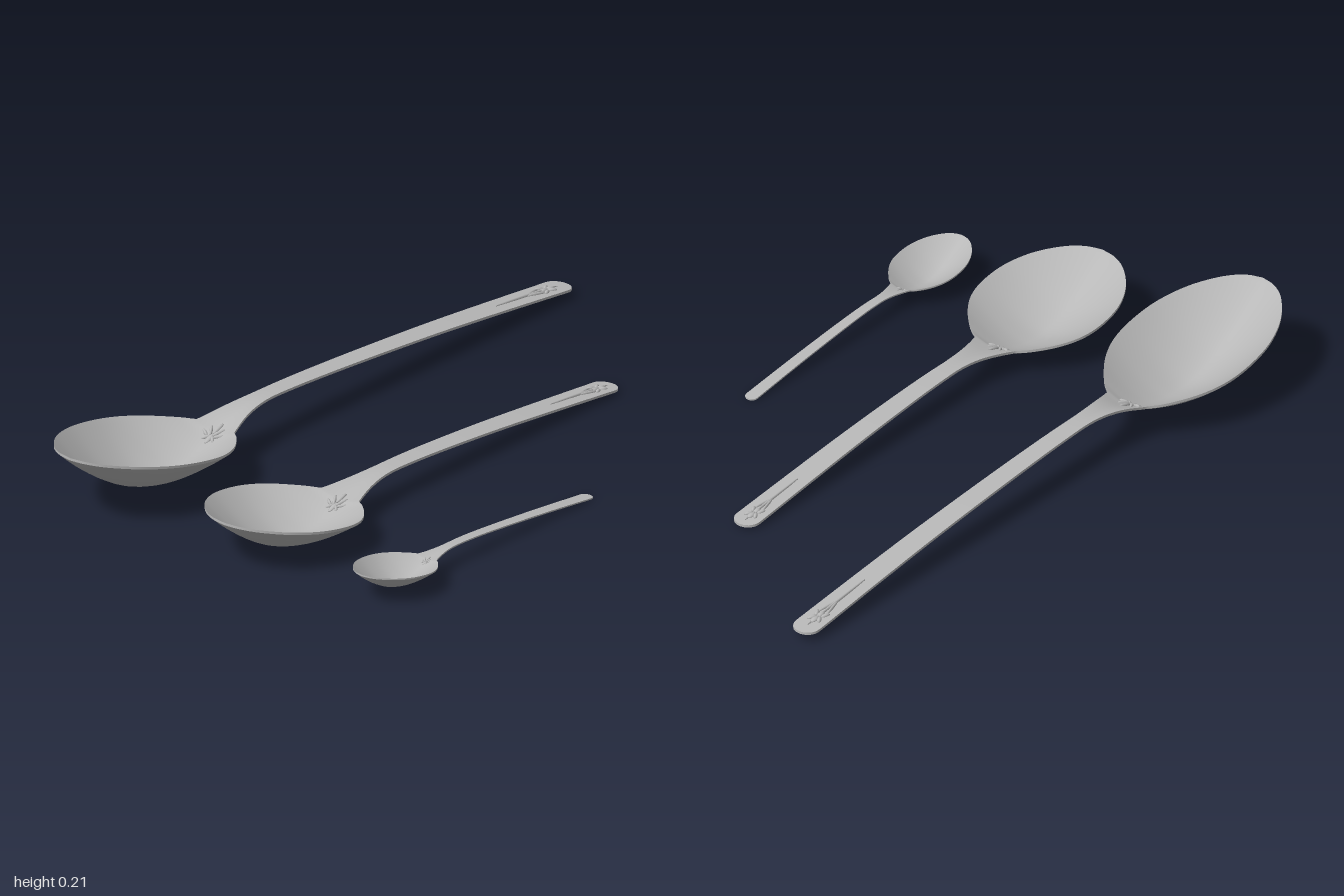
import * as THREE from 'three';

const silver = new THREE.MeshStandardMaterial({ color: 0xb8b8b8 });
silver.name = 'silver';

// Shared bowl profile from neck to tip: fraction of length, of half width, of depth
const BOWL = new THREE.CatmullRomCurve3([
  [0, 0.335, 0.15], [0.06, 0.53, 0.34], [0.18, 0.79, 0.64], [0.31, 0.95, 0.87], [0.46, 1, 1],
  [0.63, 0.95, 0.91], [0.79, 0.775, 0.62], [0.915, 0.505, 0.3], [0.978, 0.25, 0.09], [1, 0, 0],
].map(p => new THREE.Vector3(...p)), false, 'catmullrom', 0.5);

// Raised leaves: [x, z, half width, half length, turn]
const NECK_LEAVES = [[0, -0.022, 0.006, 0.024, 0], [0, 0.015, 0.008, 0.02, 0]];
const CREST_LEAVES = [[0, -0.035, 0.009, 0.016, 0], [0, -0.008, 0.008, 0.014, 0], [0, 0.06, 0.004, 0.13, 0]];
for (const s of [-1, 1]) {
  NECK_LEAVES.push([s * 0.013, -0.008, 0.005, 0.02, s * -0.5], [s * 0.023, 0.004, 0.005, 0.016, s * -1],
    [s * 0.012, 0.015, 0.005, 0.014, s * 0.7]);
  CREST_LEAVES.push([s * 0.012, -0.03, 0.006, 0.014, s * -0.5], [s * 0.014, -0.006, 0.006, 0.014, s * 0.4],
    [s * 0.008, 0.03, 0.004, 0.035, s * -0.2]);
}

// Rows along a spoon, from handle end to bowl tip
function spoonRows({ handle, tip, tipY, bowlWidth, depth, endWidth, waist, flare }) {
  const rows = [];
  const arc = new THREE.SplineCurve(handle.map(p => new THREE.Vector2(...p)));
  const end = handle[0][0], [neckZ, neckY] = handle[handle.length - 1];
  const neck = BOWL.getPoint(0), cap = endWidth * 0.9, n = 56;

  // Handle: rounded end, slight taper, then a flare into the bowl
  for (let i = 0; i < n; i++) {
    const { x: z, y: rim } = arc.getPoint(Math.pow(i / n, 1.6));
    const d = z - end, k = 1 - Math.min(1, d / cap);
    const taper = THREE.MathUtils.lerp(endWidth, waist, Math.min(1, d / (neckZ - flare - end)));
    const f = Math.max(0, 1 - (neckZ - z) / flare) ** 2;
    rows.push({ z, rim, w: taper * Math.sqrt(1 - k * k) + (neck.y * bowlWidth - waist) * f,
      mid: rim - neck.z * depth * f });
  }

  // Bowl: straight sloping rim over a rounded hollow
  for (let i = 0; i <= n; i++) {
    const p = BOWL.getPoint(i / n), rim = THREE.MathUtils.lerp(neckY, tipY, p.x);
    rows.push({ z: THREE.MathUtils.lerp(neckZ, tip, p.x), rim, w: Math.max(0, p.y) * bowlWidth,
      mid: rim - Math.max(0, p.z) * depth });
  }
  return rows;
}

// Underside height across a row, u from -1 to 1
const dish = (r, u) => r.mid + (r.rim - r.mid) * Math.pow(Math.abs(u), 1.55);

// Skin over the rows; across lists [u, lift above the underside]
function skin(rows, across) {
  const pos = [], idx = [], n = across.length;
  rows.forEach((r, i) => across.forEach(([u, lift], j) => {
    pos.push(u * r.w, dish(r, u) + lift, r.z);
    if (i && j) {
      const d = i * n + j, c = d - 1, b = d - n, a = b - 1;
      idx.push(a, c, b, b, c, d);
    }
  }));
  const g = new THREE.BufferGeometry();
  g.setAttribute('position', new THREE.Float32BufferAttribute(pos, 3));
  g.setIndex(idx);
  g.computeVertexNormals();
  return g;
}

function makeSpoon(spec) {
  const { name, x, thick, scale, neckZ, crestZ } = spec;
  const spoon = new THREE.Group();
  spoon.name = name;
  spoon.position.x = x;
  const rows = spoonRows(spec);
  const add = (part, geo) => {
    const m = new THREE.Mesh(geo, silver);
    m.name = part;
    spoon.add(m);
    return m;
  };

  // Bowl and handle in one sheet: top, underside and edges
  const us = Array.from({ length: 25 }, (_, i) => i / 12 - 1);
  add('upperFace', skin(rows, us.map(u => [u, thick])));
  add('underside', skin(rows, us.map(u => [-u, 0])));
  add('leftEdge', skin(rows, [[1, thick], [1, 0]]));
  add('rightEdge', skin(rows, [[-1, 0], [-1, thick]]));

  // Relief leaves laid on the upper face
  const topAt = (px, z) => {
    const i = rows.findIndex(r => r.z >= z), a = rows[i - 1], b = rows[i];
    const h = r => dish(r, Math.min(1, Math.abs(px) / r.w));
    return thick + THREE.MathUtils.lerp(h(a), h(b), (z - a.z) / (b.z - a.z));
  };
  const leafGeo = new THREE.SphereGeometry(1, 10, 6);
  const relief = (part, leaves, z0) => leaves.forEach(([lx, lz, w, l, turn]) => {
    const px = lx * scale, z = z0 + lz * scale;
    const leaf = add(part, leafGeo);
    leaf.position.set(px, topAt(px, z), z);
    leaf.scale.set(w * scale, 0.006 * scale, l * scale);
    const slope = (topAt(px, z + 0.01) - topAt(px, z - 0.01)) / 0.02;
    leaf.rotation.set(-Math.atan(slope), turn, 0);
  });
  relief('neckLeaf', NECK_LEAVES, neckZ);
  if (crestZ) relief('handleFlower', CREST_LEAVES, crestZ);
  return spoon;
}

export function createModel() {
  const model = new THREE.Group();
  model.name = 'spoonSet';
  model.add(
    makeSpoon({ name: 'largeSpoon', x: -0.4, thick: 0.007, scale: 1, neckZ: 0.425, crestZ: -0.9,
      handle: [[-1, 0.019], [-0.4, 0.08], [0.2, 0.118], [0.415, 0.093]],
      tip: 1, tipY: 0.201, bowlWidth: 0.198, depth: 0.118, endWidth: 0.04, waist: 0.027, flare: 0.22 }),
    makeSpoon({ name: 'mediumSpoon', x: 0.092, thick: 0.007, scale: 0.93, neckZ: 0.495, crestZ: -0.54,
      handle: [[-0.62, 0.006], [-0.1, 0.057], [0.28, 0.079], [0.48, 0.063]],
      tip: 0.945, tipY: 0.141, bowlWidth: 0.197, depth: 0.096, endWidth: 0.039, waist: 0.027, flare: 0.2 }),
    makeSpoon({ name: 'smallSpoon', x: 0.498, thick: 0.004, scale: 0.42, neckZ: 0.602,
      handle: [[-0.06, 0], [0.2, 0.029], [0.45, 0.05], [0.597, 0.047]],
      tip: 0.862, tipY: 0.086, bowlWidth: 0.097, depth: 0.054, endWidth: 0.019, waist: 0.014, flare: 0.1 }),
  );
  return model;
}
